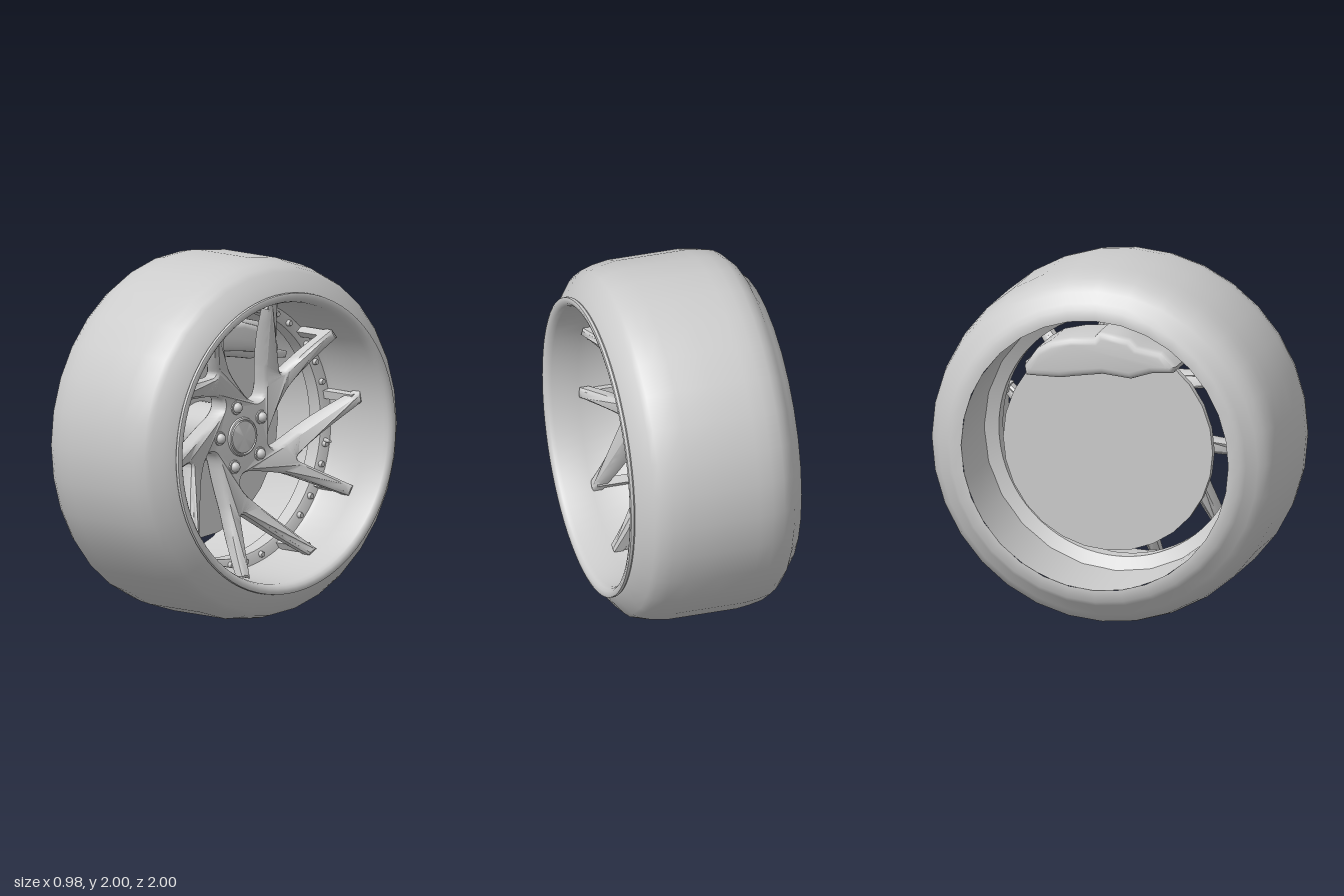
import * as THREE from 'three';
import { toCreasedNormals } from 'three/addons/utils/BufferGeometryUtils.js';

const STEP = Math.PI * 2 / 5;
const V2 = (p) => new THREE.Vector2(p[0], p[1]);
const deg = (a) => a * Math.PI / 180;

export function createModel() {
  const grey = new THREE.MeshStandardMaterial({ color: 0xcccccc });
  grey.name = 'grey';

  // The wheel is built with its axle along z, then turned to face +x
  const wheel = new THREE.Group();
  wheel.name = 'wheel';
  const add = (name, geo, x = 0, y = 0, z = 0) => {
    const mesh = new THREE.Mesh(geo, grey);
    mesh.name = name;
    mesh.position.set(x, y, z);
    wheel.add(mesh);
    return mesh;
  };
  // Profiles are [radius, depth along the axle]
  const lathe = (name, profile, segments, crease = 0.6) => {
    const geo = new THREE.LatheGeometry(profile.map(V2), segments).rotateX(Math.PI / 2);
    return add(name, toCreasedNormals(geo, crease));
  };
  const disc = (r1, r2, h, n) => new THREE.CylinderGeometry(r1, r2, h, n).rotateX(Math.PI / 2);
  // Smooth open curve through 2D points
  const smooth = (pts, n) => new THREE.CatmullRomCurve3(
    pts.map((p) => new THREE.Vector3(p[0], p[1], 0)), false, 'centripetal').getPoints(n);

  // Tyre with rounded shoulders
  lathe('tire', [
    [0.765, -0.488], [0.83, -0.49], [0.858, -0.458], [0.915, -0.425], [0.95, -0.39], [0.975, -0.35],
    [0.99, -0.28], [1, -0.2], [1, 0], [1, 0.2], [0.985, 0.29], [0.965, 0.355], [0.94, 0.385],
    [0.89, 0.425], [0.845, 0.457], [0.825, 0.466],
  ], 32, 1);

  // Rear barrel, open at the back
  lathe('barrel', [[0.757, 0.03], [0.76, -0.2], [0.768, -0.488]], 24);

  // Rim: outer lip, deep dish and bolt flange with a deep inner wall
  lathe('rim', [
    [0.81, 0.462], [0.828, 0.464], [0.834, 0.472], [0.832, 0.487], [0.82, 0.491], [0.8, 0.486], [0.786, 0.472],
    [0.778, 0.45], [0.77, 0.3], [0.765, 0.09], [0.752, 0.06], [0.7, 0.052], [0.688, 0.045],
    [0.686, -0.04], [0.757, -0.08],
  ], 72);

  // Spider: five forked spokes in one outline, repeated by rotation
  const fork = smooth([[-0.1, -0.757], [-0.07, -0.6], [-0.05, -0.48], [-0.04, -0.435], [-0.022, -0.425],
    [0.01, -0.44], [0.1, -0.5], [0.22, -0.585], [0.355, -0.677]], 26);
  const valley = smooth([[0.408, -0.647], [0.25, -0.51], [0.16, -0.435], [0.08, -0.37], [0.012, -0.305],
    [-0.01, -0.258], [0.01, -0.217], [0.06, -0.2], [0.17, -0.212], [0.3, -0.235], [0.35, -0.248],
    [0.5, -0.31], [0.657, -0.38]], 40);
  const outline = [];
  for (let k = 0; k < 5; k++) {
    for (const p of [...fork, ...valley]) {
      outline.push(new THREE.Vector2(p.x, p.y).rotateAround(new THREE.Vector2(), k * STEP));
    }
  }
  const spider = new THREE.ExtrudeGeometry(new THREE.Shape(outline), {
    depth: 0.7, bevelThickness: 0.15, bevelSize: 0.013, bevelOffset: -0.013, bevelSegments: 1, steps: 1,
  });
  // Dish the spider: it rises to the tips and thins towards them
  const pos = spider.attributes.position;
  for (let i = 0; i < pos.count; i++) {
    const t = THREE.MathUtils.clamp((Math.hypot(pos.getX(i), pos.getY(i)) - 0.2) / 0.56, 0, 1);
    const front = 0.135 + 0.175 * Math.pow(t, 1.65);
    const thick = 0.12 - 0.045 * t;
    pos.setZ(i, front - thick * (0.85 - pos.getZ(i)));
  }
  add('spokes', toCreasedNormals(spider, 0.8));

  // Posts that carry each spoke tip back to the flange
  for (let k = 0; k < 5; k++) {
    for (const a of [-99.5, -60.1]) {
      const b = deg(a) + k * STEP;
      const post = add('spokePost', new THREE.BoxGeometry(0.042, 0.046, 0.23),
        0.738 * Math.cos(b), 0.738 * Math.sin(b), 0.165);
      post.rotation.z = b;
    }
  }

  // Centre cap with a raised rim, and the hub behind it
  lathe('centreCap', [[0.112, 0.125], [0.105, 0.146], [0.097, 0.15], [0.092, 0.142], [0.088, 0.15], [0, 0.152]], 40);
  add('hub', disc(0.16, 0.16, 0.25, 32), 0, 0, -0.085);

  // Lug nuts on round seats
  for (let k = 0; k < 5; k++) {
    const a = deg(105) + k * STEP, x = 0.172 * Math.cos(a), y = 0.172 * Math.sin(a);
    add('lugSeat', disc(0.038, 0.042, 0.02, 20), x, y, 0.133);
    add('lugNut', new THREE.SphereGeometry(0.029, 16, 10), x, y, 0.143);
  }

  // Flange bolts, three in every gap between spoke tips
  for (let k = 0; k < 5; k++) {
    for (const a of [90, 100, 110, 53, 62, 72]) {
      const b = deg(a) + k * STEP;
      add('flangeBolt', disc(0.014, 0.019, 0.022, 10), 0.72 * Math.cos(b), 0.72 * Math.sin(b), 0.063);
    }
  }

  // Tyre valve
  const valve = add('valve', new THREE.CylinderGeometry(0.009, 0.013, 0.07, 10), 0.705, -0.105, 0.08);
  valve.rotation.set(Math.PI / 2, 0, 0.3);

  // Brake disc
  add('brakeDisc', disc(0.6, 0.6, 0.04, 28), 0, 0, -0.22);

  // Brake caliper straddling the disc
  const slab = (name, pts, depth, bevel, z) => {
    const geo = new THREE.ExtrudeGeometry(new THREE.Shape(pts.map(V2)), {
      depth, bevelThickness: bevel, bevelSize: bevel, bevelOffset: -bevel, bevelSegments: 4,
    });
    add(name, toCreasedNormals(geo, 0.9), 0, 0, z);
  };
  slab('caliperBody', [
    [-0.42, 0.5], [-0.4, 0.46], [-0.28, 0.45], [-0.16, 0.41], [0, 0.425], [0.16, 0.4], [0.24, 0.385],
    [0.44, 0.385], [0.45, 0.44], [0.38, 0.54], [0.3, 0.59], [0.18, 0.62], [0.05, 0.63], [0.02, 0.665],
    [-0.06, 0.655], [-0.16, 0.64], [-0.2, 0.6], [-0.34, 0.58],
  ], 0.26, 0.04, -0.32);
  slab('caliperFace', [
    [-0.36, 0.51], [-0.16, 0.45], [0, 0.46], [0.16, 0.44], [0.3, 0.42], [0.39, 0.46], [0.29, 0.56],
    [0.14, 0.605], [0, 0.615], [-0.14, 0.595], [-0.3, 0.57],
  ], 0.03, 0.03, -0.04);
  // Bracket and bleed screw at the caliper end
  slab('caliperBracket', [[0.3, 0.38], [0.5, 0.365], [0.51, 0.4], [0.4, 0.43], [0.3, 0.43]], 0.08, 0.008, -0.12);
  add('bleedScrew', new THREE.SphereGeometry(0.016, 12, 8), 0.36, 0.44, -0.01);

  wheel.rotation.y = Math.PI / 2;
  wheel.position.y = 1;
  const model = new THREE.Group();
  model.name = 'wheelAssembly';
  model.add(wheel);
  return model;
}
